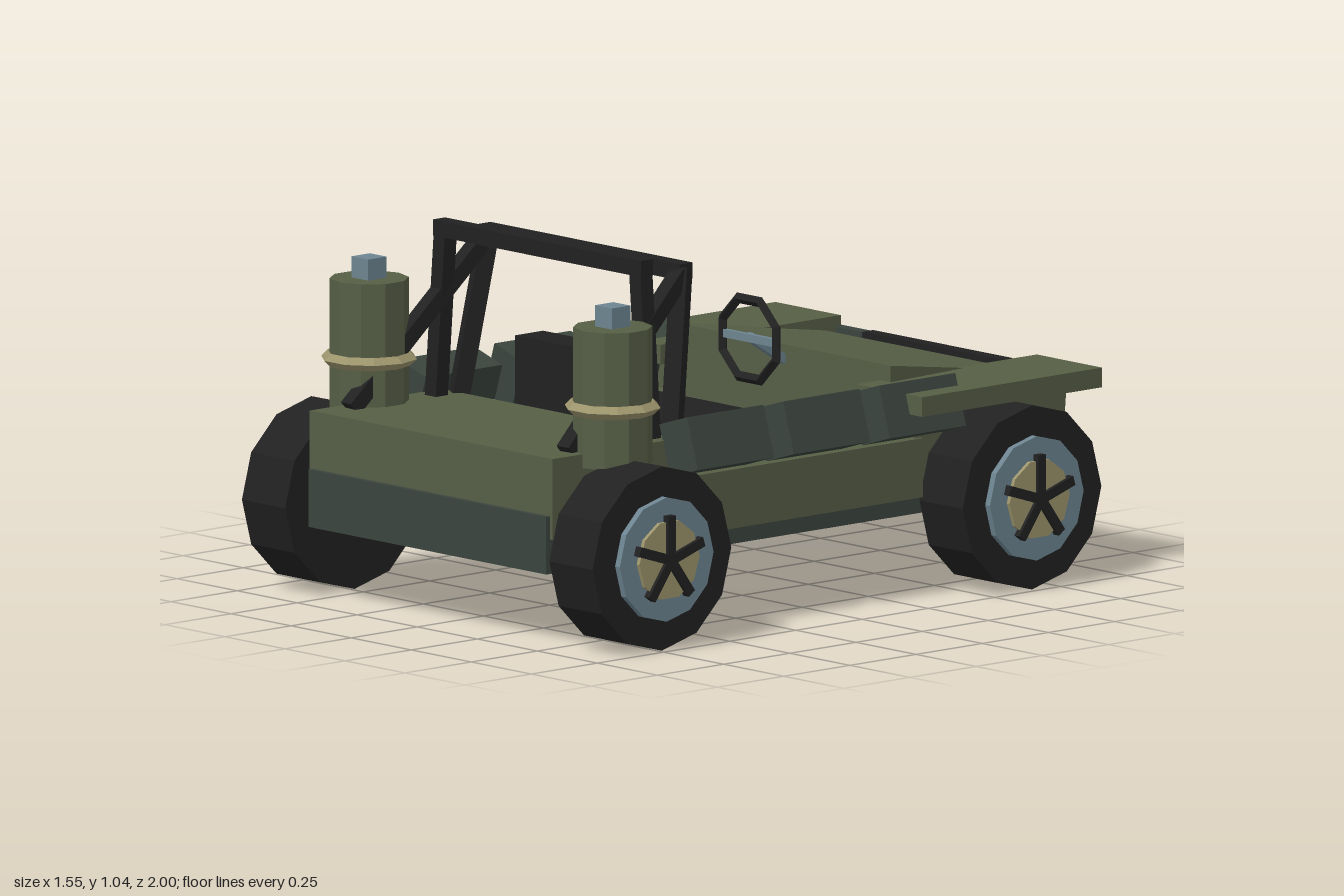
import * as THREE from 'three';

const mat = (name, color) => {
  const m = new THREE.MeshStandardMaterial({ color, flatShading: true });
  m.name = name;
  return m;
};

export function createModel() {
  const green = mat('olive green', 0x565e45);
  const grey = mat('dark grey green', 0x3b443e);
  const black = mat('rubber black', 0x212121);
  const steel = mat('steel blue', 0x6d8591);
  const tan = mat('tan', 0x9c946c);

  const root = new THREE.Group();
  root.name = 'offRoadCar';

  const add = (name, geo, material, parent = root) => {
    const m = new THREE.Mesh(geo, material);
    m.name = name;
    parent.add(m);
    return m;
  };
  // Box given by its minimum and maximum on each axis
  const box = (name, material, [x0, x1], [y0, y1], [z0, z1], parent = root) => {
    const m = add(name, new THREE.BoxGeometry(x1 - x0, y1 - y0, z1 - z0), material, parent);
    m.position.set((x0 + x1) / 2, (y0 + y1) / 2, (z0 + z1) / 2);
    return m;
  };
  // Square beam between two points
  const beam = (name, material, a, b, t, parent = root) => {
    const p = new THREE.Vector3(...a), q = new THREE.Vector3(...b);
    const m = add(name, new THREE.BoxGeometry(t, t, p.distanceTo(q)), material, parent);
    m.position.copy(p).add(q).multiplyScalar(0.5);
    m.lookAt(q);
    return m;
  };
  // Side profile in (z, y), extruded across the width
  const profile = (name, material, pts, width) => {
    const shape = new THREE.Shape(pts.map(([z, y]) => new THREE.Vector2(z, y)));
    const geo = new THREE.ExtrudeGeometry(shape, { depth: width, bevelEnabled: false });
    geo.translate(0, 0, -width / 2).rotateY(-Math.PI / 2);
    return add(name, geo, material);
  };

  // Chassis slab, also the cabin floor
  box('chassis', grey, [-0.495, 0.495], [0.212, 0.376], [-0.9, 0.962]);

  // Nose, rear deck and hood
  profile('nose', green, [
    [-0.955, 0.535], [-0.94, 0.355], [-0.85, 0.355], [-0.8, 0.272], [-0.38, 0.272], [-0.38, 0.535],
  ], 1.1);
  box('rearDeck', green, [-0.505, 0.505], [0.31, 0.54], [0.45, 0.948]);

  const hood = new THREE.BoxGeometry(2, 1, 1);
  const hp = hood.attributes.position;
  for (let i = 0; i < hp.count; i++) {
    const back = hp.getZ(i) > 0;
    const top = hp.getY(i) > 0;
    hp.setXYZ(i, hp.getX(i) * (back ? 0.45 : 0.405), top ? (back ? 0.633 : 0.55) : 0.45, back ? -0.38 : -0.91);
  }
  hood.computeVertexNormals();
  add('hood', hood, green);

  // Grille with upright bars
  box('grille', black, [-0.29, 0.29], [0.395, 0.558], [-0.985, -0.945]);
  for (let i = -2; i <= 2; i++) {
    box('grilleBar', steel, [i * 0.1 - 0.013, i * 0.1 + 0.013], [0.41, 0.545], [-1, -0.98]);
  }

  // Seat
  const seat = new THREE.Group();
  seat.name = 'seat';
  root.add(seat);
  box('seatCushion', black, [-0.215, 0.215], [0.376, 0.52], [-0.05, 0.4], seat);
  box('seatBack', black, [-0.215, 0.215], [0.45, 0.73], [0.33, 0.435], seat);
  box('seatBackPanel', grey, [-0.16, 0.16], [0.54, 0.7], [0.322, 0.331], seat);

  // Steering wheel
  const steering = new THREE.Group();
  steering.name = 'steering';
  root.add(steering);
  const rimGeo = new THREE.TorusGeometry(0.12, 0.016, 4, 8).rotateZ(Math.PI / 8);
  add('steeringRim', rimGeo, black, steering).position.set(0, 0.663, -0.255);
  beam('steeringColumn', steel, [0, 0.67, -0.255], [0, 0.58, -0.4], 0.025, steering);
  box('steeringSpoke', steel, [-0.11, 0.11], [0.655, 0.678], [-0.262, -0.248], steering);

  // Roll bars: cross beams
  beam('rearRollBarTop', black, [-0.433, 1.021, 0.525], [0.433, 1.021, 0.525], 0.046);
  beam('frontRollBarTop', black, [-0.42, 0.99, 0.365], [0.42, 0.99, 0.365], 0.046);

  // Wheel built around its own axle, outer side towards +x
  const makeWheel = (name, side, z) => {
    const wheel = new THREE.Group();
    wheel.name = name;
    wheel.position.set(side * 0.64, 0.262, z);
    if (side < 0) wheel.rotation.y = Math.PI;
    const disc = (part, r, sides, x0, x1, material) => {
      const geo = new THREE.CylinderGeometry(r, r, x1 - x0, sides).rotateZ(-Math.PI / 2);
      add(part, geo, material, wheel).position.x = (x0 + x1) / 2;
    };
    disc('tyre', 0.262, 12, -0.09, 0.09, black);
    disc('rim', 0.177, 12, 0.08, 0.11, steel);
    disc('hubCap', 0.114, 10, 0.1, 0.122, tan);
    for (let i = 0; i < 5; i++) {
      const geo = new THREE.BoxGeometry(0.022, 0.13, 0.028).translate(0.122, 0.062, 0);
      add('spoke', geo, black, wheel).rotation.x = (i * Math.PI * 2) / 5;
    }
    root.add(wheel);
  };

  for (const s of [1, -1]) {
    const label = s > 0 ? 'left' : 'right';
    const span = (a, b) => (s > 0 ? [a, b] : [-b, -a]);

    // Side sill, fender and lamp plate
    box(label + 'Sill', green, span(0.41, 0.562), [0.272, 0.44], [-0.4, 0.6]);
    box(label + 'Fender', green, span(0.408, 0.68), [0.53, 0.586], [-0.97, -0.29]);
    box(label + 'LampPlate', grey, span(0.3, 0.48), [0.5, 0.555], [-0.985, -0.95]);

    // Leaning storage boxes along the side
    for (const z of [-0.343, 0.019, 0.382]) {
      const b = add(label + 'SideBox', new THREE.BoxGeometry(0.121, 0.151, 0.288), grey);
      b.position.set(s * 0.566, 0.53, z);
      b.rotation.z = s * 0.3;
    }

    // Roll bar legs and rear strut
    beam(label + 'RearRollBarLeg', black, [s * 0.405, 1.03, 0.525], [s * 0.452, 0.44, 0.525], 0.046);
    beam(label + 'FrontRollBarLeg', black, [s * 0.4, 1, 0.365], [s * 0.45, 0.44, 0.455], 0.05);
    beam(label + 'RollBarStrut', black, [s * 0.405, 0.985, 0.37], [s * 0.45, 0.54, 0.845], 0.046);

    // Canister with strap ring and cap
    const can = new THREE.Group();
    can.name = label + 'Canister';
    can.position.set(s * 0.507, 0, 0.722);
    root.add(can);
    add('canisterBody', new THREE.CylinderGeometry(0.112, 0.112, 0.39, 10), green, can).position.y = 0.695;
    add('canisterStrap', new THREE.TorusGeometry(0.118, 0.019, 4, 10).rotateX(Math.PI / 2), tan, can).position.y = 0.663;
    add('canisterCap', new THREE.BoxGeometry(0.07, 0.07, 0.07), steel, can).position.y = 0.915;

    makeWheel(label + 'FrontWheel', s, -0.66);
    makeWheel(label + 'RearWheel', s, 0.738);
  }
  return root;
}
